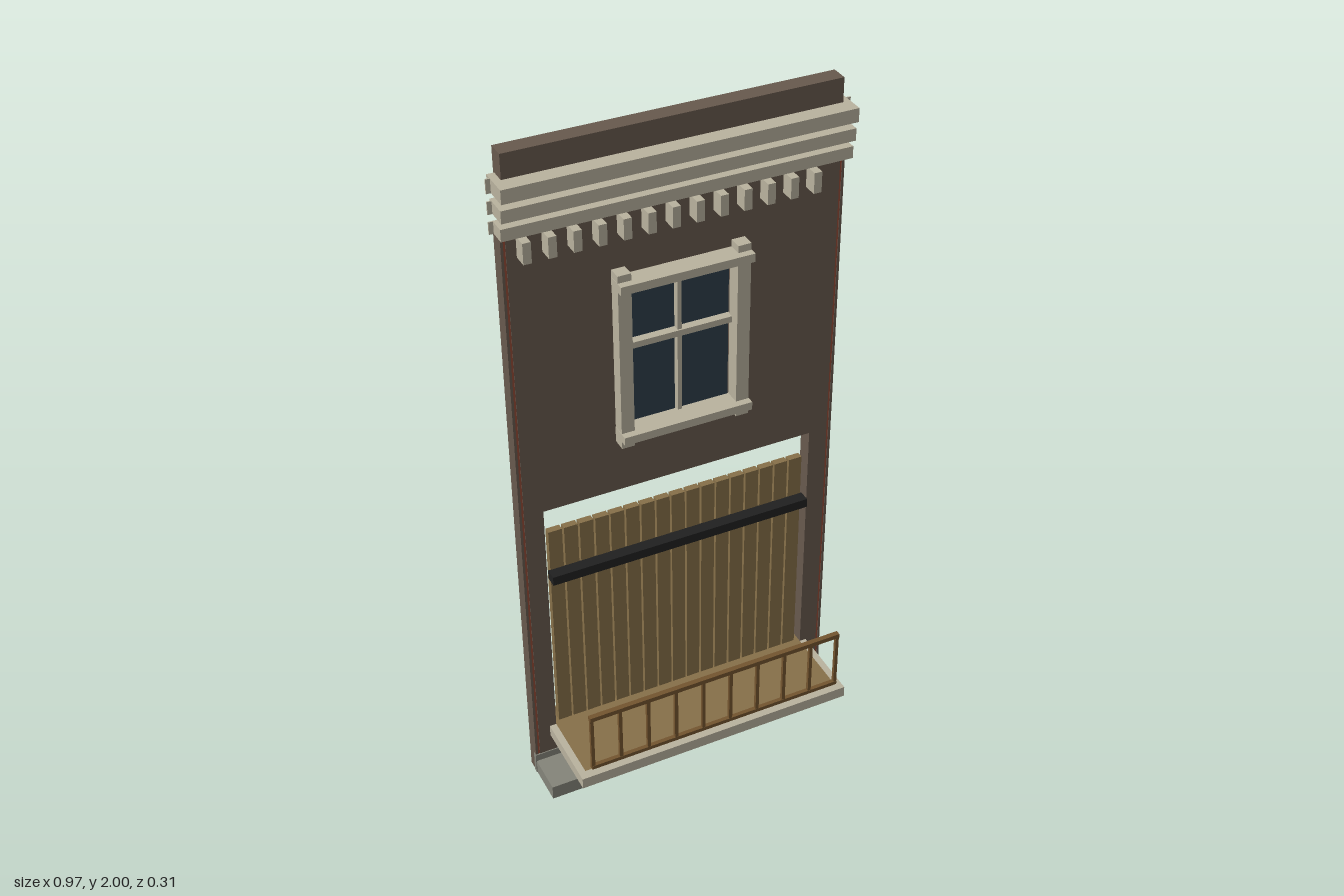
import * as THREE from 'three';

const mat = (name, color) => {
  const m = new THREE.MeshStandardMaterial({ color });
  m.name = name;
  return m;
};

export function createModel() {
  const root = new THREE.Group();
  root.name = 'facadePanel';
  const plaster = mat('brown plaster', 0x685a4e);
  const trim = mat('cream trim', 0xbab39f);
  const wood = mat('plank wood', 0x877049);
  const railWood = mat('dark rail wood', 0x74552f);
  const stone = mat('grey stone', 0x85857a);
  const glass = mat('blue glass', 0x2e3e4b);
  const black = mat('black', 0x202020);
  const brick = mat('red brick', 0x934a36);

  // Box given by its limits on each axis
  const box = (name, m, x0, x1, y0, y1, z0, z1, parent = root) => {
    const mesh = new THREE.Mesh(new THREE.BoxGeometry(x1 - x0, y1 - y0, z1 - z0), m);
    mesh.position.set((x0 + x1) / 2, (y0 + y1) / 2, (z0 + z1) / 2);
    mesh.name = name;
    parent.add(mesh);
    return mesh;
  };
  const group = (name) => {
    const g = new THREE.Group();
    g.name = name;
    root.add(g);
    return g;
  };

  // Wall with a wide doorway and a window hole
  const outline = new THREE.Shape([
    [-0.455, 0], [-0.4, 0], [-0.4, 0.94], [0.4, 0.94], [0.4, 0],
    [0.455, 0], [0.455, 1.84], [-0.455, 1.84],
  ].map(([x, y]) => new THREE.Vector2(x, y)));
  outline.holes.push(new THREE.Path([
    [-0.15, 1.14], [-0.15, 1.59], [0.15, 1.59], [0.15, 1.14],
  ].map(([x, y]) => new THREE.Vector2(x, y))));
  const wall = new THREE.Mesh(
    new THREE.ExtrudeGeometry(outline, { depth: 0.045, bevelEnabled: false }), plaster);
  wall.position.z = -0.128;
  wall.name = 'wall';
  root.add(wall);
  box('parapet', plaster, -0.455, 0.455, 1.84, 2, -0.132, -0.083);

  // Side edges: a brick seam under a plaster skin
  for (const s of [-1, 1]) {
    const seam = box('brickSeam', brick, 0.455, 0.461, 0.02, 1.8, -0.126, -0.085);
    const skin = box('sideSkin', plaster, 0.461, 0.468, 0, 1.8, -0.126, -0.083);
    seam.position.x *= s;
    skin.position.x *= s;
  }

  // Cornice: three bands with thin end tabs, and a row of dentils
  const cornice = group('cornice');
  for (const [y0, y1, z0, z1] of [
    [1.895, 1.933, -0.125, 0 - 0.037],
    [1.84, 1.874, -0.115, -0.046],
    [1.787, 1.82, -0.105, -0.056],
  ]) {
    box('corniceBand', trim, -0.475, 0.475, y0, y1, z0, z1, cornice);
    box('corniceTab', trim, -0.487, 0.487, y0, y1, -0.105, -0.101, cornice);
  }
  for (let i = 0; i < 13; i++) {
    const x = -0.417 + i * 0.0655;
    box('dentil', trim, x - 0.011, x + 0.011, 1.72, 1.778, -0.085, -0.042, cornice);
  }

  // Window
  const win = group('window');
  box('glass', glass, -0.15, 0.15, 1.14, 1.59, -0.105, -0.099, win);
  box('windowBacking', black, -0.168, 0.168, 1.13, 1.598, -0.145, -0.126, win);
  for (const s of [-1, 1]) {
    const stile = box('windowStile', trim, 0.148, 0.185, 1.1, 1.622, -0.09, -0.045, win);
    stile.position.x *= s;
  }
  box('windowHead', trim, -0.186, 0.186, 1.578, 1.602, -0.09, -0.024, win);
  box('windowSill', trim, -0.186, 0.186, 1.124, 1.148, -0.09, -0.024, win);
  box('windowCrossbar', trim, -0.15, 0.15, 1.38, 1.398, -0.1, -0.075, win);
  box('windowMullion', trim, -0.006, 0.006, 1.14, 1.59, -0.1, -0.08, win);

  // Plank shutter with its black bar
  const fence = group('plankShutter');
  const pitch = 0.0457;
  for (let i = 0; i < 17; i++) {
    const x = (i - 8) * pitch;
    box('plank', wood, x - 0.02, x + 0.02, 0.01, 0.855, -0.115, -0.095, fence);
  }
  box('lockingBar', black, -0.392, 0.39, 0.698, 0.726, -0.096, -0.061, fence);

  // Balcony: wooden deck inside a cream frame
  const balcony = group('balcony');
  box('deck', wood, -0.4, 0.4, 0.098, 0.163, -0.153, 0.125, balcony);
  box('frameFront', trim, -0.42, 0.42, 0.128, 0.163, 0.125, 0.152, balcony);
  box('frameLeft', trim, 0.4, 0.42, 0.128, 0.163, -0.083, 0.125, balcony);
  box('frameRight', trim, -0.42, -0.4, 0.128, 0.163, -0.083, 0.125, balcony);

  // Railing
  const railing = group('railing');
  box('topRail', railWood, -0.39, 0.39, 0.372, 0.386, 0.14, 0.155, railing);
  box('bottomRail', railWood, -0.39, 0.39, 0.19, 0.202, 0.142, 0.154, railing);
  for (let i = 0; i < 10; i++) {
    const x = -0.385 + (i * 0.77) / 9;
    box('baluster', railWood, x - 0.005, x + 0.005, 0.195, 0.376, 0.143, 0.153, railing);
  }

  // Stone step and its low riser
  box('step', stone, -0.468, 0.468, 0, 0.045, -0.108, 0.037);
  box('stepRiser', stone, -0.47, 0.47, 0, 0.068, -0.094, -0.08);
  return root;
}
